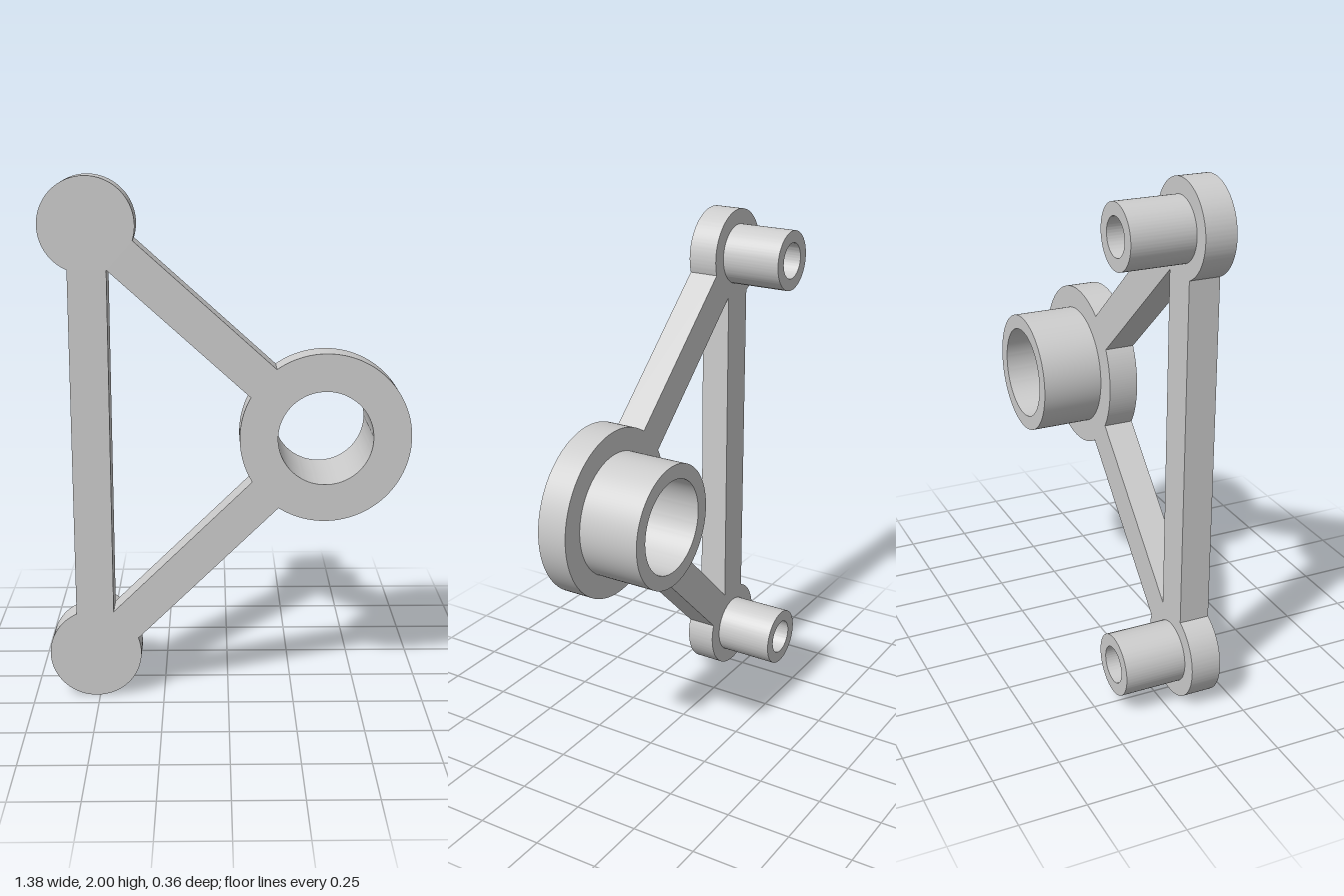
import * as THREE from 'three';
import { toCreasedNormals } from 'three/addons/utils/BufferGeometryUtils.js';

const BACK = -0.178, PLATE_BACK = 0.061, FRONT = 0.178;
const HALF_BAR = 0.0715;

// Round nodes of the bracket, counter-clockwise
const bottom = { x: -0.513, y: 0.176, r: 0.176 };
const hub = { x: 0.365, y: 1.032, r: 0.322 };
const top = { x: -0.513, y: 1.824, r: 0.176 };
const HUB_BORE = 0.179;

const angleTo = (a, b) => Math.atan2(b.y - a.y, b.x - a.x);
const spread = (n) => Math.asin(HALF_BAR / n.r);

function extrude(shape, z0, z1) {
  const geometry = new THREE.ExtrudeGeometry(shape, { depth: z1 - z0, bevelEnabled: false, curveSegments: 64 });
  geometry.translate(0, 0, z0);
  return toCreasedNormals(geometry, Math.PI / 7);
}

function circlePath(n, r) {
  const path = new THREE.Path();
  path.absarc(n.x, n.y, r, 0, Math.PI * 2, false);
  return path;
}

// Inner corner where two bars meet at a node
function innerCorner(n, a, b) {
  const p = angleTo(n, a), q = angleTo(n, b);
  const d = HALF_BAR / Math.sin(Math.abs(p - q) / 2);
  const mid = (p + q) / 2;
  return [n.x + d * Math.cos(mid), n.y + d * Math.sin(mid)];
}

function plateShape() {
  // Outer outline: arcs around the nodes joined by the straight bar edges
  const shape = new THREE.Shape();
  const nodes = [bottom, hub, top];
  nodes.forEach((n, i) => {
    const start = angleTo(n, nodes[(i + 2) % 3]) + spread(n);
    const end = angleTo(n, nodes[(i + 1) % 3]) - spread(n);
    shape.absarc(n.x, n.y, n.r, start, end, false);
  });
  shape.closePath();

  // Triangular opening, cut round by the hub
  const opening = new THREE.Path();
  const toBottom = angleTo(hub, bottom) + Math.PI * 2;
  opening.absarc(hub.x, hub.y, hub.r, angleTo(hub, top) + spread(hub), toBottom - spread(hub), false);
  opening.lineTo(...innerCorner(bottom, hub, top));
  opening.lineTo(...innerCorner(top, bottom, hub));
  opening.closePath();

  shape.holes.push(opening, circlePath(hub, HUB_BORE));
  return shape;
}

// Hollow tube standing on the back of the plate
function bossGeometry(n, outer, bore) {
  const shape = new THREE.Shape();
  shape.absarc(n.x, n.y, outer, 0, Math.PI * 2, false);
  shape.holes.push(circlePath(n, bore));
  return extrude(shape, BACK, PLATE_BACK);
}

export function createModel() {
  const group = new THREE.Group();
  group.name = 'bracket';
  const grey = new THREE.MeshStandardMaterial({ color: 0xcccccc });
  grey.name = 'grey';

  const add = (name, geometry) => {
    const mesh = new THREE.Mesh(geometry, grey);
    mesh.name = name;
    group.add(mesh);
  };

  add('framePlate', extrude(plateShape(), PLATE_BACK, FRONT));
  add('hubBoss', bossGeometry(hub, 0.235, HUB_BORE));
  add('topBoss', bossGeometry(top, 0.117, 0.07));
  add('bottomBoss', bossGeometry(bottom, 0.117, 0.07));
  return group;
}
